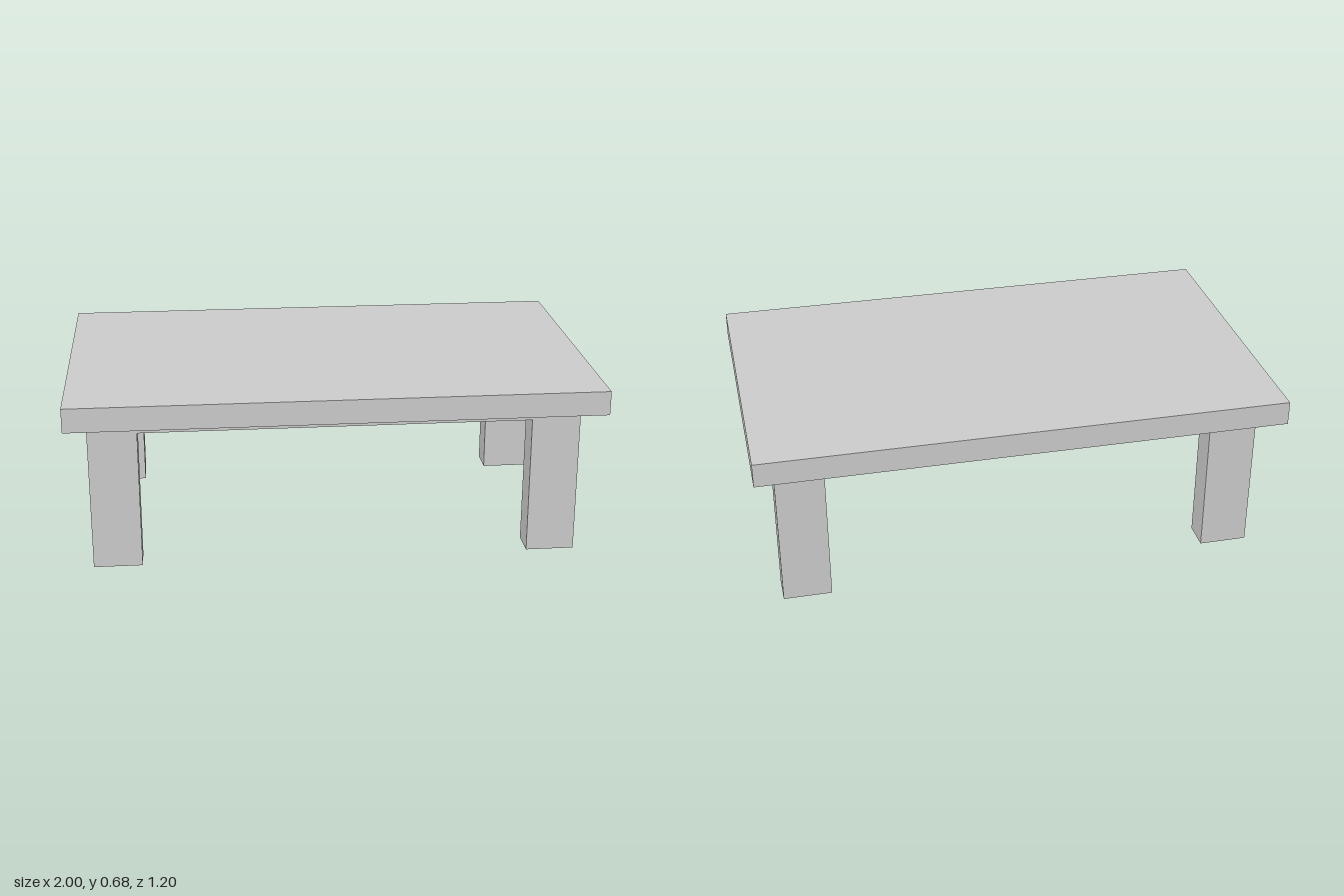
import * as THREE from 'three';

export function createModel() {
  const table = new THREE.Group();
  table.name = 'table';
  const material = new THREE.MeshStandardMaterial({ color: 0xcccccc, flatShading: true });

  // Box given by its size, its centre in x and z, and its bottom height
  const addBox = (name, [w, h, d], x, bottom, z) => {
    const mesh = new THREE.Mesh(new THREE.BoxGeometry(w, h, d), material);
    mesh.name = name;
    mesh.position.set(x, bottom + h / 2, z);
    table.add(mesh);
  };

  const topBottom = 0.588, apronBottom = 0.535;
  const apronX = 0.922, apronZ = 0.486;
  const legW = 0.184, legD = 0.111;

  // Overhanging top and the solid apron slab below it
  addBox('tabletop', [2, 0.092, 1.204], 0, topBottom, 0);
  addBox('apron', [apronX * 2, topBottom - apronBottom, apronZ * 2], 0, apronBottom, 0);

  // Legs flush with the apron corners
  for (const [side, sx] of [['Left', 1], ['Right', -1]]) {
    for (const [end, sz] of [['front', 1], ['back', -1]]) {
      addBox(`${end}${side}Leg`, [legW, apronBottom, legD],
        sx * (apronX - legW / 2), 0, sz * (apronZ - legD / 2));
    }
  }
  return table;
}
